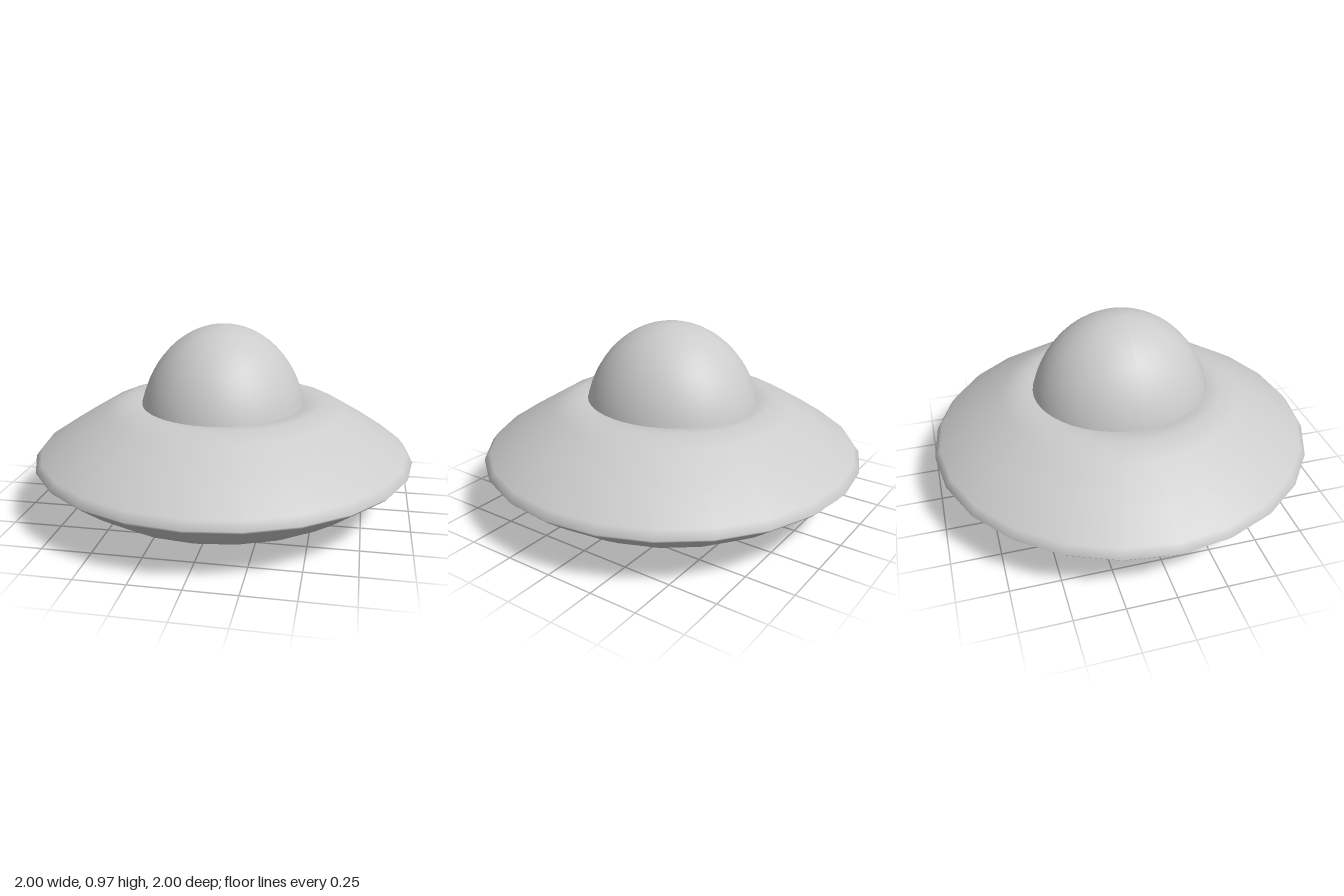
import * as THREE from 'three';

const material = new THREE.MeshStandardMaterial({ color: 0xcccccc, side: THREE.DoubleSide });

// Ring-shaped saucer hull: cross-section from the underside dimple, round the rim, to the top
function makeHull() {
  const profile = [
    [0.2, 0.17], [0.29, 0.095], [0.39, 0.04], [0.51, 0.014], [0.615, 0.043],
    [0.75, 0.1], [0.87, 0.18], [0.985, 0.268], [1, 0.285], [0.97, 0.325],
    [0.82, 0.425], [0.63, 0.54], [0.525, 0.575], [0.43, 0.568], [0.34, 0.53],
  ].map(([r, y]) => new THREE.Vector2(r, y));
  const hull = new THREE.Mesh(new THREE.LatheGeometry(profile, 24), material);
  hull.name = 'hull';
  return hull;
}

// Egg-shaped cabin: domed above the hull, its flatter bottom shows through the ring
function makeCabin() {
  const middle = 0.42, top = 0.975, bottom = 0.004;
  const geometry = new THREE.SphereGeometry(1, 48, 32);
  const position = geometry.attributes.position;
  for (let i = 0; i < position.count; i++) {
    const y = position.getY(i);
    position.setXYZ(
      i,
      position.getX(i) * 0.445,
      middle + y * (y > 0 ? top - middle : middle - bottom),
      position.getZ(i) * 0.48,
    );
  }
  geometry.computeVertexNormals();
  const cabin = new THREE.Mesh(geometry, material);
  cabin.name = 'cabinDome';
  return cabin;
}

export function createModel() {
  const model = new THREE.Group();
  model.name = 'flyingSaucer';
  model.add(makeHull(), makeCabin());
  return model;
}
